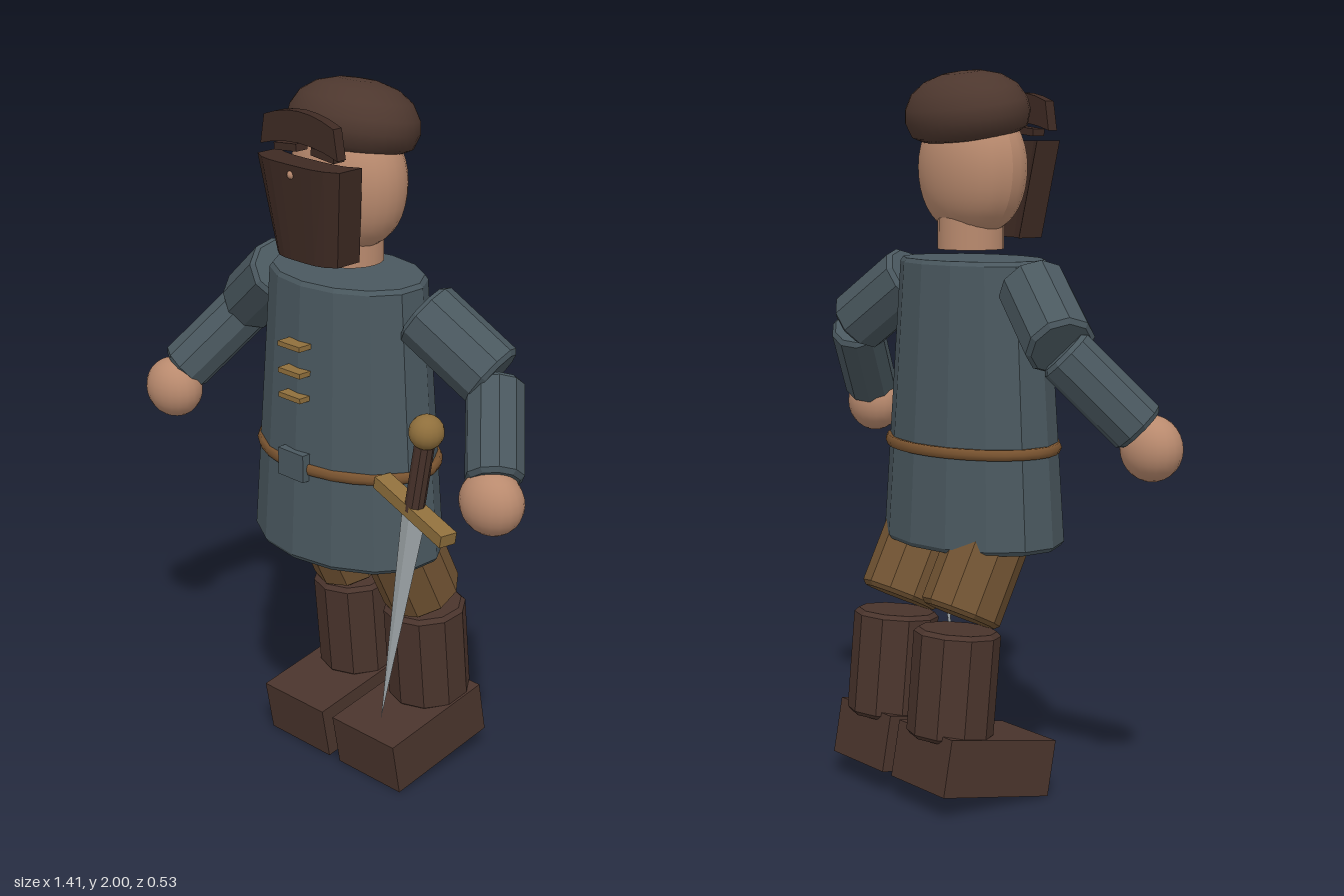
import * as THREE from 'three';

const paint = (name, color, flat = true) => {
  const m = new THREE.MeshStandardMaterial({ color, flatShading: flat });
  m.name = name;
  return m;
};

export function createModel() {
  const model = new THREE.Group();
  model.name = 'swordsman';
  const slate = paint('slate cloth', 0x4a585f);
  const skin = paint('skin', 0xb98a6e, false);
  const hatBrown = paint('hat brown', 0x4d372e, false);
  const leather = paint('boot leather', 0x4a342c);
  const dark = paint('dark leather', 0x3e2a23);
  const trouser = paint('trouser brown', 0x725433);
  const belt = paint('belt brown', 0x7a5430, false);
  const brass = paint('brass', 0x8f6f3c);
  const steel = paint('steel', 0xa9b1b4);

  const add = (name, geo, mat, pos = [0, 0, 0], parent = model) => {
    const mesh = new THREE.Mesh(geo, mat);
    mesh.name = name;
    mesh.position.set(...pos);
    parent.add(mesh);
    return mesh;
  };
  const lathe = (pts, sides) =>
    new THREE.LatheGeometry(pts.map(p => new THREE.Vector2(...p)), sides);

  // Cylinder with narrow bevelled rims running from point a to point b
  const limb = (name, a, b, r, mat, sides = 10) => {
    const from = new THREE.Vector3(...a), to = new THREE.Vector3(...b);
    const dir = to.clone().sub(from), h = dir.length(), e = 0.012;
    const mesh = add(name, lathe([[0, 0], [r - e, 0], [r, e], [r, h - e], [r - e, h], [0, h]], sides), mat, a);
    mesh.quaternion.setFromUnitVectors(new THREE.Vector3(0, 1, 0), dir.normalize());
    return mesh;
  };

  // Tunic: flattened, flared body
  const tunic = add('tunic', lathe([[0, 0.7], [0.295, 0.7], [0.305, 0.712],
    [0.247, 1.478], [0.237, 1.49], [0, 1.49]], 14), slate, [0, 0, 0.04]);
  tunic.scale.z = 0.715;

  // Belt, buckle and chest fastenings
  const beltGeo = new THREE.TorusGeometry(0.284, 0.014, 6, 28).rotateX(Math.PI / 2);
  add('belt', beltGeo, belt, [0, 0.975, 0.038]).scale.set(1, 1.2, 0.715);
  add('buckle', new THREE.BoxGeometry(0.098, 0.078, 0.035), slate, [0, 0.98, 0.242]);
  for (const y of [1.32, 1.245, 1.175])
    add('fastening', new THREE.BoxGeometry(0.084, 0.014, 0.055), brass, [0, y, 0.234]);

  // Neck, head and nose
  add('neck', new THREE.CylinderGeometry(0.092, 0.092, 0.12, 20), skin, [0, 1.575, 0.032]);
  const headGeo = new THREE.SphereGeometry(1, 28, 20);
  const p = headGeo.attributes.position;
  for (let i = 0; i < p.count; i++) {
    const y = p.getY(i), k = y < 0 ? 1 + 0.12 * y * y : 1;
    p.setXYZ(i, p.getX(i) * k * 0.18, y * 0.19, p.getZ(i) * k * 0.132);
  }
  headGeo.computeVertexNormals();
  add('head', headGeo, skin, [0, 1.74, 0.037]);
  add('noseTip', new THREE.SphereGeometry(0.012, 8, 6), skin, [0, 1.783, 0.243]);

  // Soft cap, lower at the back
  const cap = add('cap', lathe([[0, -0.05], [0.15, -0.055], [0.18, -0.04], [0.195, 0],
    [0.19, 0.035], [0.165, 0.075], [0.12, 0.104], [0.06, 0.12], [0, 0.124]], 32), hatBrown, [0, 1.877, 0.02]);
  cap.scale.z = 0.82;
  cap.rotation.x = -0.16;

  // Curved face cover, narrowing and leaning back towards the chin
  const maskGeo = new THREE.BoxGeometry(2, 0.265, 0.08, 8, 1, 1);
  const q = maskGeo.attributes.position;
  for (let i = 0; i < q.count; i++) {
    const t = q.getX(i), up = q.getY(i) / 0.265 + 0.5;
    q.setX(i, t * (0.115 + 0.04 * up));
    q.setZ(i, q.getZ(i) + 0.03 * up - 0.03 * t ** 4);
  }
  add('faceCover', maskGeo, dark, [0, 1.678, 0.18]);

  // Arched brow plate and eyebrows
  const arch = new THREE.Shape();
  arch.moveTo(-0.145, 1.838);
  arch.quadraticCurveTo(0, 1.885, 0.145, 1.838);
  arch.lineTo(0.13, 1.918);
  arch.quadraticCurveTo(0, 1.97, -0.13, 1.918);
  arch.closePath();
  add('browPlate', new THREE.ExtrudeGeometry(arch,
    { depth: 0.03, bevelEnabled: false, curveSegments: 6 }), dark, [0, 0, 0.188]);
  for (const s of [-1, 1])
    add('eyebrow', new THREE.BoxGeometry(0.085, 0.02, 0.04), dark, [s * 0.07, 1.837, 0.18]).rotation.z = -s * 0.1;

  for (const s of [1, -1]) {
    const side = s > 0 ? 'left' : 'right';
    const reach = s > 0 ? 0 : 0.03;

    // Sleeves and hand
    limb(side + 'UpperArm', [s * 0.27, 1.43, 0.03], [s * 0.47, 1.28, -0.03], 0.095, slate);
    limb(side + 'Forearm', [s * 0.475, 1.27, -0.03], [s * 0.605, 1.07, 0.11 + reach / 2], 0.078, slate);
    add(side + 'Hand', new THREE.SphereGeometry(1, 20, 14), skin, [s * 0.612, 1.02, 0.127 + reach])
      .scale.set(0.092, 0.088, 0.076);

    // Bent leg: thigh, boot shaft and tilted foot
    limb(side + 'Thigh', [s * 0.143, 0.523, -0.115], [s * 0.143, 0.8, 0.022], 0.114, trouser);
    limb(side + 'BootShaft', [s * 0.145, 0.19, -0.15], [s * 0.145, 0.488, -0.122], 0.12, leather);
    add(side + 'Foot', new THREE.BoxGeometry(0.245, 0.158, 0.366), leather, [s * 0.144, 0.111, -0.066])
      .rotation.x = 0.18;
  }

  // Sword hanging by the left hip, point down
  const sword = new THREE.Group();
  sword.name = 'sword';
  sword.position.set(0.392, 0.947, 0.182);
  sword.rotation.set(0, -0.18, -0.21);
  model.add(sword);
  const pommelMat = brass.clone();
  pommelMat.name = 'smooth brass';
  pommelMat.flatShading = false;
  add('pommel', new THREE.SphereGeometry(0.047, 16, 12), pommelMat, [0, 0.24, 0], sword);
  add('grip', new THREE.CylinderGeometry(0.027, 0.027, 0.22, 10), leather, [0, 0.11, 0], sword);
  add('guard', new THREE.BoxGeometry(0.305, 0.035, 0.05), brass, [0, 0, 0], sword);
  const blade = new THREE.ConeGeometry(1, 0.71, 4).rotateX(Math.PI);
  add('blade', blade, steel, [0, -0.355, 0], sword).scale.set(0.052, 1, 0.014);

  return model;
}
